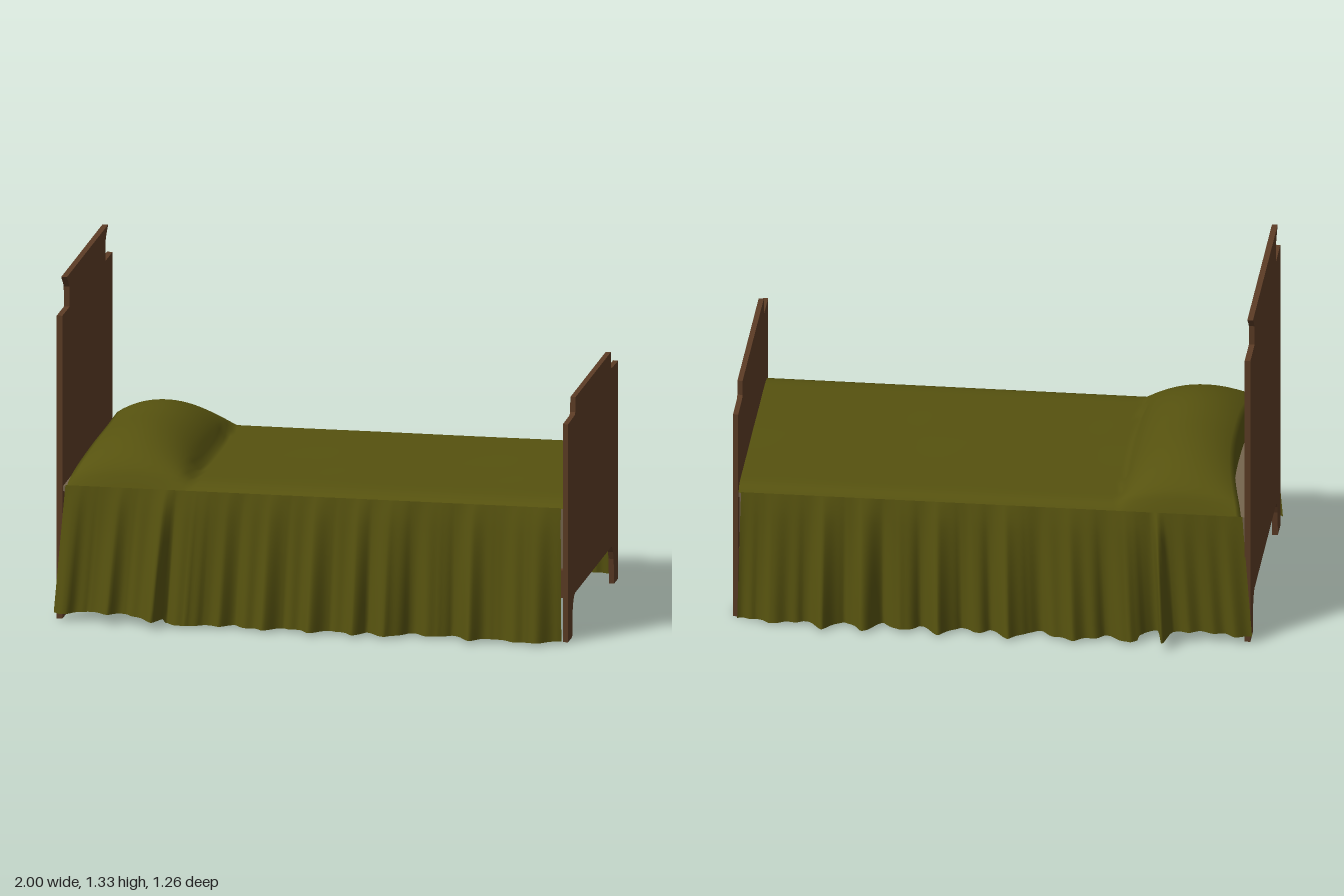
import * as THREE from 'three';

const wood = new THREE.MeshStandardMaterial({ name: 'brown wood', color: 0x5c3c25 });
const cloth = new THREE.MeshStandardMaterial({ name: 'olive cloth', color: 0x56520f, side: THREE.DoubleSide });
const linen = new THREE.MeshStandardMaterial({ name: 'mattress linen', color: 0x75654d });

function add(group, name, geometry, material) {
  const mesh = new THREE.Mesh(geometry, material);
  mesh.name = name;
  group.add(mesh);
  return mesh;
}

// Surface patch: fn(u, v) returns [x, y, z] for u, v in 0..1
function patch(nu, nv, fn, flip = false) {
  const pos = [], idx = [];
  for (let i = 0; i <= nu; i++) {
    for (let j = 0; j <= nv; j++) pos.push(...fn(i / nu, j / nv));
  }
  for (let i = 0; i < nu; i++) {
    for (let j = 0; j < nv; j++) {
      const a = i * (nv + 1) + j, b = a + 1, c = a + nv + 1, d = c + 1;
      if (flip) idx.push(a, c, b, b, c, d);
      else idx.push(a, b, c, b, d, c);
    }
  }
  const g = new THREE.BufferGeometry();
  g.setAttribute('position', new THREE.Float32BufferAttribute(pos, 3));
  g.setIndex(idx);
  g.computeVertexNormals();
  return g;
}

// Bed end panel with bracket feet; topHalf is the crown outline on the +z side
function endPanel(topHalf, thickness) {
  const half = [[0, 0.16], [0.37, 0.16], [0.39, 0.15], [0.405, 0.13], [0.417, 0.1], [0.425, 0],
    [0.51, 0], ...topHalf];
  const outline = [...half, ...half.slice(1).reverse().map(([z, y]) => [-z, y])];
  const shape = new THREE.Shape(outline.map(([z, y]) => new THREE.Vector2(-z, y)));
  const g = new THREE.ExtrudeGeometry(shape, { depth: thickness, bevelEnabled: false });
  g.rotateY(Math.PI / 2);
  return g;
}

// Linear interpolation through [x, value] points
function lerpPoints(points, x) {
  for (let i = 1; i < points.length; i++) {
    const [x0, v0] = points[i - 1], [x1, v1] = points[i];
    if (x <= x1) return v0 + (v1 - v0) * Math.max(0, (x - x0) / (x1 - x0));
  }
  return points[points.length - 1][1];
}

// Hem distance from the centre line along each side of the bed
const frontHem = [[-1, 0.53], [-0.94, 0.56], [-0.87, 0.52], [-0.78, 0.58], [-0.71, 0.535], [-0.6, 0.63],
  [-0.56, 0.535], [-0.48, 0.59], [-0.42, 0.54], [-0.35, 0.56], [-0.29, 0.53], [-0.18, 0.59], [-0.1, 0.53],
  [0, 0.59], [0.08, 0.54], [0.17, 0.59], [0.22, 0.55], [0.3, 0.6], [0.38, 0.53], [0.5, 0.56], [0.55, 0.53],
  [0.63, 0.59], [0.72, 0.55], [0.85, 0.6], [0.98, 0.54]];
const backHem = [[-1, 0.52], [-0.93, 0.54], [-0.84, 0.52], [-0.76, 0.54], [-0.69, 0.53], [-0.665, 0.64],
  [-0.64, 0.53], [-0.59, 0.53], [-0.54, 0.59], [-0.43, 0.54], [-0.32, 0.6], [-0.2, 0.54], [-0.14, 0.54],
  [-0.07, 0.61], [0.01, 0.54], [0.07, 0.57], [0.12, 0.53], [0.2, 0.6], [0.28, 0.54], [0.35, 0.58], [0.42, 0.53],
  [0.5, 0.6], [0.57, 0.53], [0.65, 0.6], [0.73, 0.54], [0.86, 0.58], [0.91, 0.53], [0.98, 0.555]];

function skirt(hem, side) {
  return patch(240, 10, (u, v) => {
    const hemX = -1 + 1.98 * u;
    const x = hemX + (1 - v) * (0.04 * (1 - u) - 0.01 * u);
    const ripple = 0.008 * Math.sin(hemX * 71 + side) + 0.006 * Math.sin(hemX * 43);
    const reach = lerpPoints(hem, hemX) - 0.5 + ripple;
    const bottom = hemX < -0.57 ? 0.035 + 0.006 * Math.sin(hemX * 14) : 0.01;
    const y = 0.525 + (bottom - 0.525) * v;
    return [x, y, side * (0.5 + Math.max(0.005, reach) * Math.pow(v, 0.75))];
  }, side < 0);
}

// Height of the coverlet, raised over the pillow and rounded at the long edges
function coverHeight(x, z) {
  const s = Math.abs(z) / 0.5;
  const d = (x + 0.72) / (x < -0.72 ? 0.25 : 0.235);
  const hump = Math.abs(d) < 1 ? Math.pow(1 - d * d, 0.7) : 0;
  const ends = Math.pow(Math.max(0, 1 - s ** 3), 0.7);
  const edge = 0.028 * Math.pow(s, z > 0 ? 14 : 30);
  const wrinkle = 0.003 * Math.sin(x * 9 + z * 5) * Math.sin(z * 6 + 1);
  return 0.55 + 0.15 * hump * ends - edge + wrinkle * (1 - s);
}

export function createModel() {
  const bed = new THREE.Group();
  bed.name = 'bed';

  // Bed ends
  const headTop = [[0.51, 1.195], [0.365, 1.195], [0.368, 1.275], [0.385, 1.295], [0.42, 1.325]];
  const footTop = [[0.51, 0.86], [0.375, 0.862], [0.363, 0.872], [0.36, 0.93]];
  add(bed, 'headboard', endPanel(headTop, 0.022), wood).position.x = -0.992;
  add(bed, 'footboard', endPanel(footTop, 0.02), wood).position.x = 0.98;

  // Side rails
  for (const side of [-1, 1]) {
    const rail = add(bed, side > 0 ? 'frontRail' : 'backRail', new THREE.BoxGeometry(1.95, 0.11, 0.025), wood);
    rail.position.set(0.005, 0.225, side * 0.485);
  }

  // Mattress
  add(bed, 'mattress', new THREE.BoxGeometry(1.95, 0.325, 0.94), linen).position.set(0.005, 0.3525, 0);
  add(bed, 'mattressTop', new THREE.BoxGeometry(1.95, 0.02, 0.985), linen).position.set(0.005, 0.51, 0);

  // Coverlet over the pillow, its head edge pulled in at the middle
  add(bed, 'coverlet', patch(100, 48, (u, v) => {
    const z = -0.5 + v;
    const start = -0.89 - 0.065 * Math.pow(Math.abs(z) / 0.5, 2.5);
    const x = start + (0.98 - start) * Math.max(0, u * 1.01 - 0.01);
    return [x, u === 0 ? 0.515 : coverHeight(x, z), z];
  }), cloth);

  // Pleated skirts
  add(bed, 'frontSkirt', skirt(frontHem, 1), cloth);
  add(bed, 'backSkirt', skirt(backHem, -1), cloth);

  return bed;
}
